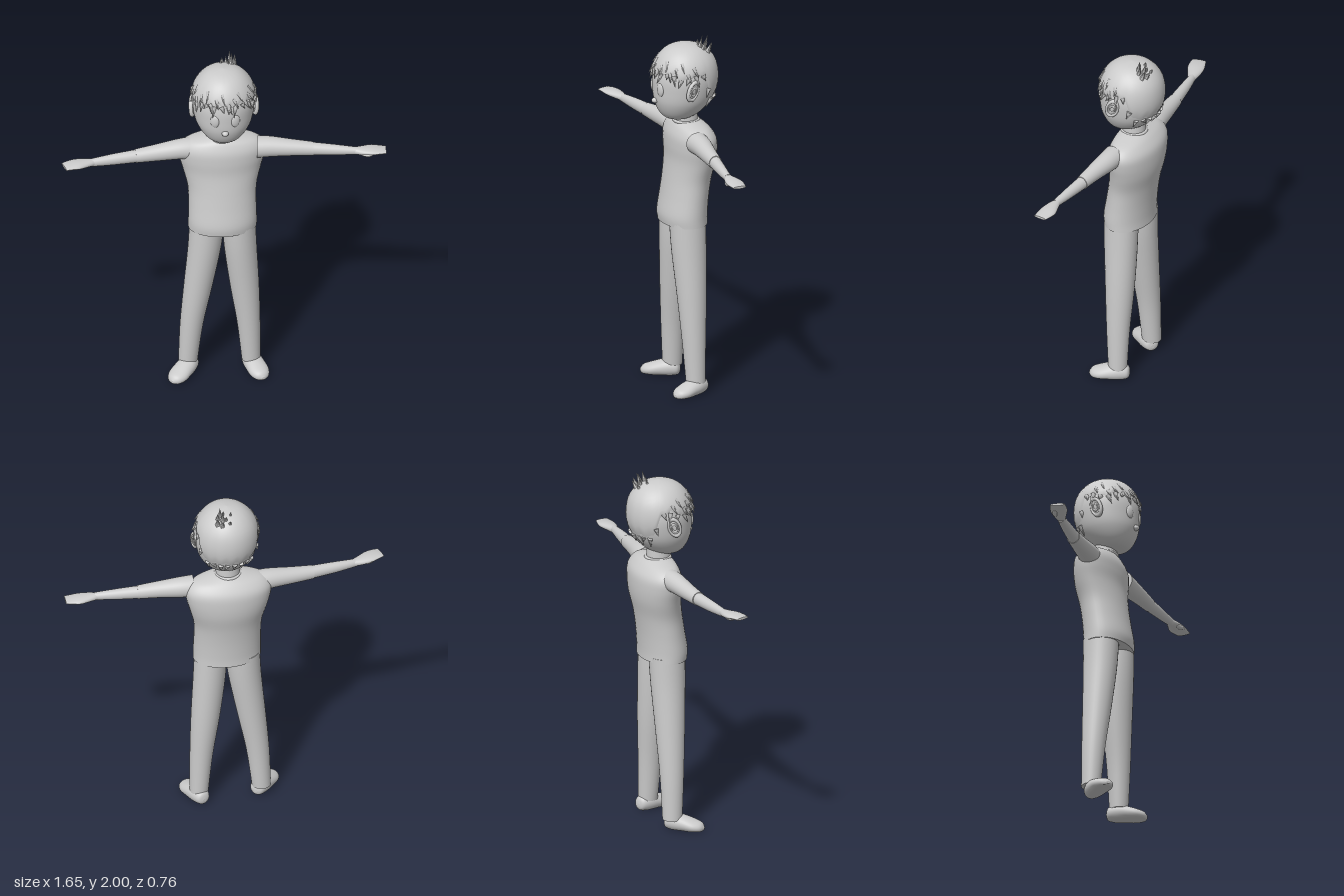
import * as THREE from 'three';

const V3 = (x, y, z) => new THREE.Vector3(x, y, z);
const UP = V3(0, 1, 0), FRONT = V3(0, 0, 1);
const mat = new THREE.MeshStandardMaterial({ color: 0xcccccc, side: THREE.DoubleSide });

function add(parent, name, geo) {
  const m = new THREE.Mesh(geo, mat);
  m.name = name;
  parent.add(m);
  return m;
}

// Catmull-Rom resampling of rows of numbers
function smooth(rows, k = 5) {
  const out = [], at = i => rows[Math.min(Math.max(i, 0), rows.length - 1)];
  for (let i = 0; i < rows.length - 1; i++) {
    for (let s = 0; s < k; s++) {
      const t = s / k;
      out.push(rows[i].map((b, c) => {
        const a = at(i - 1)[c], d = at(i + 1)[c], e = at(i + 2)[c];
        return 0.5 * (2 * b + (d - a) * t + (2 * a - 5 * b + 4 * d - e) * t * t + (3 * b - a - 3 * d + e) * t ** 3);
      }));
    }
  }
  out.push(rows[rows.length - 1]);
  return out;
}

// Surface from a grid of points that wraps round in each row, with fan caps
function skin(rings, caps = true) {
  const n = rings[0].length, pos = [], idx = [];
  rings.forEach(r => r.forEach(p => pos.push(p.x, p.y, p.z)));
  for (let i = 0; i < rings.length - 1; i++) {
    for (let j = 0; j < n; j++) {
      const a = i * n + j, b = i * n + (j + 1) % n;
      idx.push(a, b, b + n, a, b + n, a + n);
    }
  }
  if (caps) [rings[0], rings[rings.length - 1]].forEach((ring, end) => {
    const base = pos.length / 3, mid = V3(0, 0, 0);
    ring.forEach(p => { pos.push(p.x, p.y, p.z); mid.addScaledVector(p, 1 / n); });
    pos.push(mid.x, mid.y, mid.z);
    for (let j = 0; j < n; j++) {
      const a = base + j, b = base + (j + 1) % n;
      if (end) idx.push(base + n, a, b); else idx.push(base + n, b, a);
    }
  });
  const g = new THREE.BufferGeometry();
  g.setAttribute('position', new THREE.Float32BufferAttribute(pos, 3));
  g.setIndex(idx);
  g.computeVertexNormals();
  return g;
}

// Elliptic sections [x, y, z, radius along u, radius across] swept along dir
function loft(rows, u, dir, floor = -1, n = 32) {
  const v = dir.clone().normalize().cross(u);
  return skin(smooth(rows).map(([x, y, z, ru, rv]) => Array.from({ length: n }, (_, j) => {
    const t = j / n * Math.PI * 2;
    const p = V3(x, y, z).addScaledVector(u, ru * Math.cos(t)).addScaledVector(v, rv * Math.sin(t));
    p.y = Math.max(p.y, floor);
    return p;
  })));
}

// Head profile: y, forward shift, half width, half depth
const profile = smooth([
  [1.53, 0.04, 0.02, 0.03], [1.545, 0.038, 0.075, 0.075], [1.58, 0.025, 0.115, 0.12],
  [1.64, 0.01, 0.15, 0.158], [1.71, 0, 0.166, 0.174], [1.78, -0.003, 0.169, 0.175],
  [1.85, -0.005, 0.152, 0.158], [1.905, -0.005, 0.112, 0.118], [1.935, -0.005, 0.062, 0.065], [1.945, -0.005, 0, 0]]);

function headPoint(y, ang, grow = 1) {
  let i = profile.findIndex(r => r[0] >= y);
  if (i < 0) i = profile.length - 1;
  i = Math.max(i, 1);
  const p = profile[i - 1], q = profile[i];
  const t = THREE.MathUtils.clamp((y - p[0]) / (q[0] - p[0]), 0, 1);
  const [, f, a, b] = p.map((v, c) => v + (q[c] - v) * t);
  return V3(a * grow * Math.sin(ang), y, f + b * grow * Math.cos(ang));
}

// Pointed lock of hair
function lock(parent, from, to, r) {
  const d = to.clone().sub(from);
  const m = add(parent, 'hairLock', new THREE.ConeGeometry(r, d.length(), 5));
  m.position.copy(from).addScaledVector(d, 0.5);
  m.quaternion.setFromUnitVectors(UP, d.normalize());
}

function hairline(ang) {
  const a = Math.abs(ang);
  const low = THREE.MathUtils.smoothstep(a, 1.75, 2.3) * 0.15;
  const side = 0.03 * Math.exp(-(((a - 1.2) / 0.2) ** 2));
  return 1.795 - low - side;
}

function buildHead() {
  const head = new THREE.Group();
  head.name = 'head';
  head.position.set(-0.02, 0, -0.07);
  head.rotation.y = 0.35;
  add(head, 'face', loft(profile.map(([y, f, a, b]) => [0, y, f, b, a]), FRONT, UP, -1, 48));

  // Hair cap with a jagged edge
  const n = 72, rings = [];
  for (let i = 0; i <= 14; i++) {
    rings.push(Array.from({ length: n }, (_, j) => {
      const ang = (j / n) * Math.PI * 2, line = hairline(ang > Math.PI ? ang - Math.PI * 2 : ang);
      const low = line + [0, 0.012, 0.025, 0.01][j % 4];
      const p = headPoint(low + (1.945 - low) * Math.sin(i / 14 * Math.PI / 2), ang, i ? 1.04 : 1.01);
      p.y += 0.008;
      return p;
    }));
  }
  add(head, 'hairCap', skin(rings, false));

  // Locks along the hairline and scattered over the fringe
  for (let i = 0; i < 26; i++) {
    const ang = -Math.PI + (i + 0.5) / 26 * Math.PI * 2, y = hairline(ang) + 0.02;
    const drop = 0.045 + 0.02 * Math.sin(i * 2.4);
    lock(head, headPoint(y, ang, 1), headPoint(y - drop, ang + 0.1 * Math.sin(i * 1.7), 1.08), 0.016);
  }
  for (let i = 0; i < 16; i++) {
    const ang = -1.5 + i * 0.2, y = 1.85 + 0.03 * Math.sin(i * 2.1);
    lock(head, headPoint(y, ang, 1), headPoint(y - 0.045, ang + 0.1, 1.13), 0.014);
  }

  // Upright tuft on the crown: x, z, tip height
  [[0.03, -0.06, 1.97], [0.05, -0.07, 2], [0.065, -0.085, 1.975], [0.04, -0.105, 1.995], [0.02, -0.1, 1.96],
    [0.07, -0.115, 1.96], [0.045, -0.13, 1.95], [-0.01, -0.07, 1.965], [0, -0.12, 1.94]]
    .forEach(([x, z, y]) => lock(head, V3(x * 0.9, 1.885, z * 0.85), V3(x, y, z - 0.015), 0.021));

  // Eyes and ears
  for (const s of [-1, 1]) {
    const eye = add(head, 'eye', new THREE.SphereGeometry(1, 24, 16));
    eye.scale.set(0.025, 0.038, 0.012);
    eye.position.set(s * 0.056, 1.72, 0.161);
    eye.rotation.y = s * 0.34;

    const ear = new THREE.Group();
    ear.name = 'ear';
    ear.position.set(s * 0.17, 1.73, 0.015);
    ear.rotation.set(-0.35, s * 0.3, 0);
    const rim = add(ear, 'earRim', new THREE.TorusGeometry(0.036, 0.009, 10, 28));
    rim.rotation.y = Math.PI / 2;
    rim.scale.set(0.85, 1.4, 1.3);
    add(ear, 'earShell', new THREE.SphereGeometry(1, 20, 14)).scale.set(0.01, 0.05, 0.032);
    const fold = add(ear, 'earFold', new THREE.TorusGeometry(0.016, 0.005, 8, 20));
    fold.rotation.y = Math.PI / 2;
    fold.scale.set(0.9, 1.4, 1);
    fold.position.x = s * 0.008;
    head.add(ear);
  }
  const nose = add(head, 'nose', new THREE.SphereGeometry(1, 20, 14));
  nose.scale.set(0.019, 0.016, 0.022);
  nose.position.set(0, 1.645, 0.168);
  return head;
}

function buildTorso() {
  const torso = new THREE.Group();
  torso.name = 'torso';
  torso.position.set(-0.022, 0, -0.06);
  torso.rotation.y = 0.38;
  add(torso, 'shirt', loft([
    [0, 0.945, 0, 0.125, 0.186], [0, 1.0, 0.002, 0.127, 0.186], [0, 1.1, -0.01, 0.122, 0.184],
    [0, 1.2, -0.025, 0.121, 0.188], [0, 1.3, -0.042, 0.125, 0.212], [0, 1.38, -0.044, 0.127, 0.232],
    [0, 1.44, -0.042, 0.12, 0.234], [0, 1.485, -0.035, 0.095, 0.195], [0, 1.51, -0.028, 0.07, 0.11],
    [0, 1.518, -0.026, 0.05, 0.07]], FRONT, UP, -1, 40));
  const collar = add(torso, 'collar', new THREE.TorusGeometry(0.066, 0.009, 10, 32));
  collar.rotation.x = Math.PI / 2;
  collar.position.set(0, 1.512, -0.022);
  add(torso, 'neck', new THREE.CylinderGeometry(0.062, 0.066, 0.11, 28)).position.set(0, 1.55, -0.02);
  return torso;
}

// Limb sections run from the body outwards in world positions
const limbs = {
  leftSleeve: [[0.15, 1.436, -0.135, 0.06, 0.062], [0.22, 1.436, -0.16, 0.056, 0.056], [0.33, 1.43, -0.192, 0.046, 0.045], [0.44, 1.422, -0.226, 0.038, 0.036]],
  leftForearm: [[0.43, 1.422, -0.223, 0.036, 0.034], [0.55, 1.416, -0.256, 0.03, 0.028], [0.665, 1.411, -0.288, 0.021, 0.02]],
  leftHand: [[0.645, 1.411, -0.283, 0.019, 0.018], [0.69, 1.41, -0.299, 0.02, 0.034], [0.74, 1.409, -0.322, 0.018, 0.046], [0.785, 1.408, -0.337, 0.012, 0.042], [0.815, 1.408, -0.346, 0.007, 0.037]],
  rightSleeve: [[-0.19, 1.434, -0.025, 0.06, 0.062], [-0.25, 1.436, 0.008, 0.055, 0.056], [-0.36, 1.428, 0.066, 0.046, 0.045], [-0.46, 1.422, 0.12, 0.038, 0.037]],
  rightForearm: [[-0.45, 1.422, 0.115, 0.036, 0.034], [-0.57, 1.42, 0.185, 0.031, 0.028], [-0.675, 1.419, 0.248, 0.022, 0.02]],
  rightHand: [[-0.655, 1.42, 0.236, 0.019, 0.018], [-0.695, 1.424, 0.263, 0.02, 0.034], [-0.735, 1.429, 0.296, 0.018, 0.046], [-0.77, 1.432, 0.325, 0.012, 0.044], [-0.794, 1.431, 0.345, 0.007, 0.039]],
};

export function createModel() {
  const model = new THREE.Group();
  model.name = 'boyFigure';
  model.add(buildTorso(), buildHead());

  // Arms and hands
  for (const [name, rows] of Object.entries(limbs)) {
    const a = rows[0], b = rows[rows.length - 1];
    add(model, name, loft(rows, UP, V3(b[0] - a[0], 0, b[2] - a[2])));
  }
  [['leftThumb', 0.725, 1.4, -0.282, 0.1], ['rightThumb', -0.745, 1.416, 0.275, 0.75]].forEach(([name, x, y, z, yaw]) => {
    const thumb = add(model, name, new THREE.SphereGeometry(1, 16, 12));
    thumb.scale.set(0.034, 0.011, 0.014);
    thumb.position.set(x, y, z);
    thumb.rotation.y = yaw;
  });

  // Trouser legs, from ankle to hip
  add(model, 'leftLeg', loft([[0.119, 0.06, -0.128, 0.053, 0.051], [0.108, 0.3, -0.118, 0.065, 0.063],
    [0.088, 0.55, -0.107, 0.081, 0.079], [0.07, 0.8, -0.092, 0.095, 0.088], [0.062, 0.97, -0.085, 0.1, 0.09]], FRONT, UP));
  add(model, 'rightLeg', loft([[-0.202, 0.06, -0.01, 0.054, 0.052], [-0.182, 0.3, -0.012, 0.065, 0.063],
    [-0.148, 0.55, -0.02, 0.08, 0.078], [-0.115, 0.8, -0.03, 0.094, 0.09], [-0.102, 0.97, -0.036, 0.1, 0.095]], FRONT, UP));

  // Shoes with flat soles: heel position, yaw
  [['leftShoe', 0.078, -0.182, 0.72], ['rightShoe', -0.178, -0.052, -0.28]].forEach(([name, x, z, yaw]) => {
    const shoe = add(model, name, loft([
      [0, 0.035, 0, 0.01, 0.01], [0, 0.04, 0.012, 0.036, 0.036], [0, 0.042, 0.06, 0.05, 0.052], [0, 0.036, 0.11, 0.045, 0.056],
      [0, 0.026, 0.165, 0.036, 0.056], [0, 0.02, 0.205, 0.026, 0.038], [0, 0.016, 0.222, 0.008, 0.01]], UP, FRONT, 0.002));
    shoe.position.set(x, 0, z);
    shoe.rotation.y = yaw;
  });
  return model;
}
